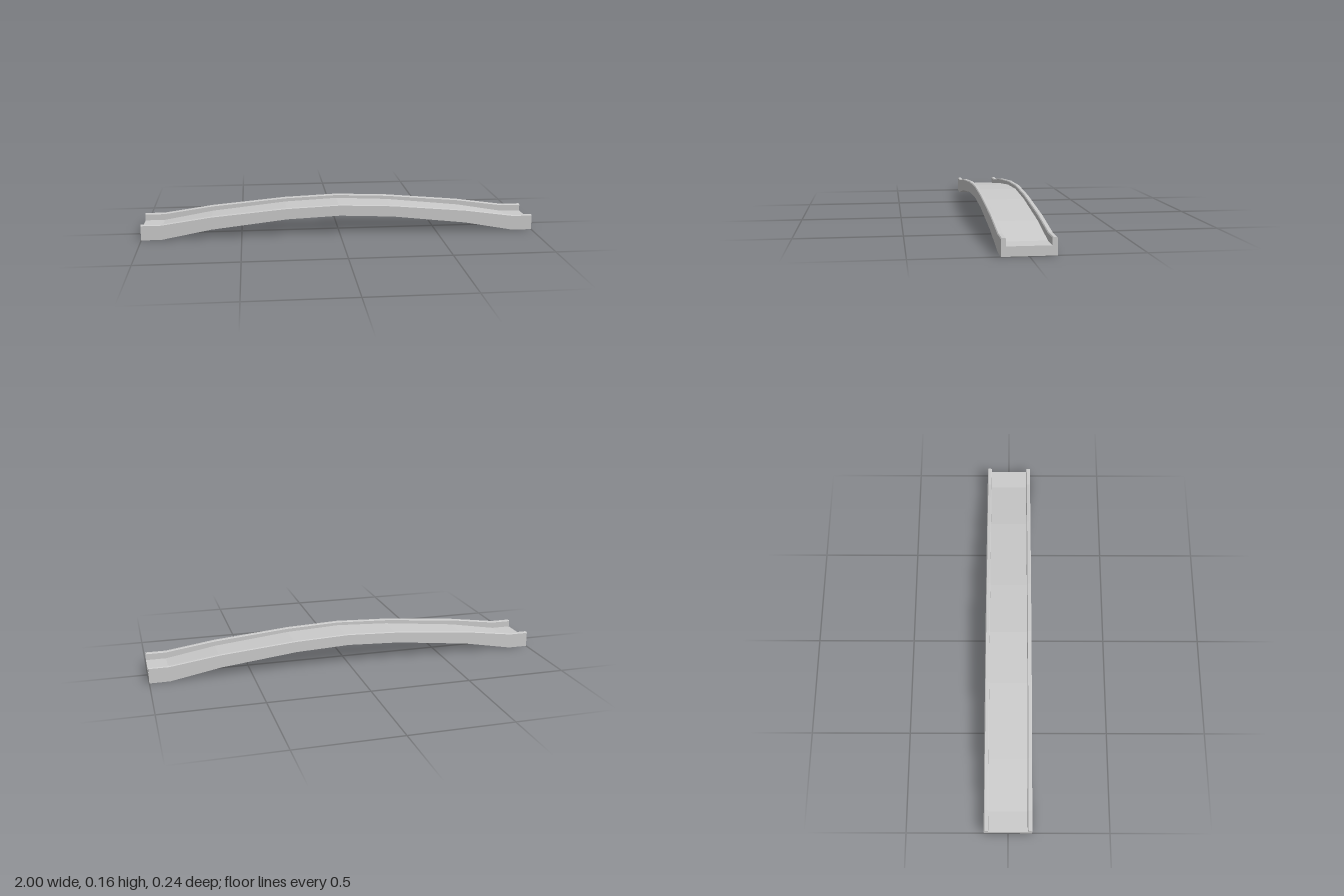
import * as THREE from 'three';

// Half the arch, from the crown outward: x, underside, deck, kerb top
const HALF = [
  [0, 0.101, 0.139, 0.158],
  [0.27, 0.089, 0.126, 0.147],
  [0.65, 0.046, 0.086, 0.113],
  [0.9, 0, 0.043, 0.078],
  [1, 0, 0.043, 0.078],
];
const OUTER = 0.118, INNER = 0.096, CHAMFER = 0.004;

// U-shaped cross-section with chamfered kerbs, counter-clockwise seen from +x
function section([, under, deck, top]) {
  const right = [
    [OUTER, under], [OUTER, top - CHAMFER], [OUTER - CHAMFER, top],
    [INNER + CHAMFER, top], [INNER, top - CHAMFER], [INNER, deck],
  ];
  const left = right.map(([u, y]) => [-u, y]).reverse();
  return [...right, ...left].map(([u, y]) => new THREE.Vector2(u, y));
}

// Joins the cross-sections along x and closes both ends
function loft(stations) {
  const rings = stations.map(section);
  const positions = [];
  const put = (j, k) => positions.push(stations[j][0], rings[j][k].y, -rings[j][k].x);
  const n = rings[0].length, last = rings.length - 1;

  for (let j = 0; j < last; j++) {
    for (let k = 0; k < n; k++) {
      const m = (k + 1) % n;
      put(j, k); put(j, m); put(j + 1, m);
      put(j, k); put(j + 1, m); put(j + 1, k);
    }
  }
  for (const [a, b, c] of THREE.ShapeUtils.triangulateShape(rings[0], [])) {
    put(last, a); put(last, b); put(last, c);
    put(0, a); put(0, c); put(0, b);
  }

  const geometry = new THREE.BufferGeometry();
  geometry.setAttribute('position', new THREE.Float32BufferAttribute(positions, 3));
  geometry.computeVertexNormals();
  return geometry;
}

export function createModel() {
  const model = new THREE.Group();
  model.name = 'archedBridge';

  // Mirror the half profile about the crown
  const mirrored = HALF.slice(1).reverse().map(([x, ...heights]) => [-x, ...heights]);
  const span = new THREE.Mesh(
    loft([...mirrored, ...HALF]),
    new THREE.MeshStandardMaterial({ color: 0xcccccc, flatShading: true })
  );
  span.name = 'deckWithKerbs';
  model.add(span);
  return model;
}
